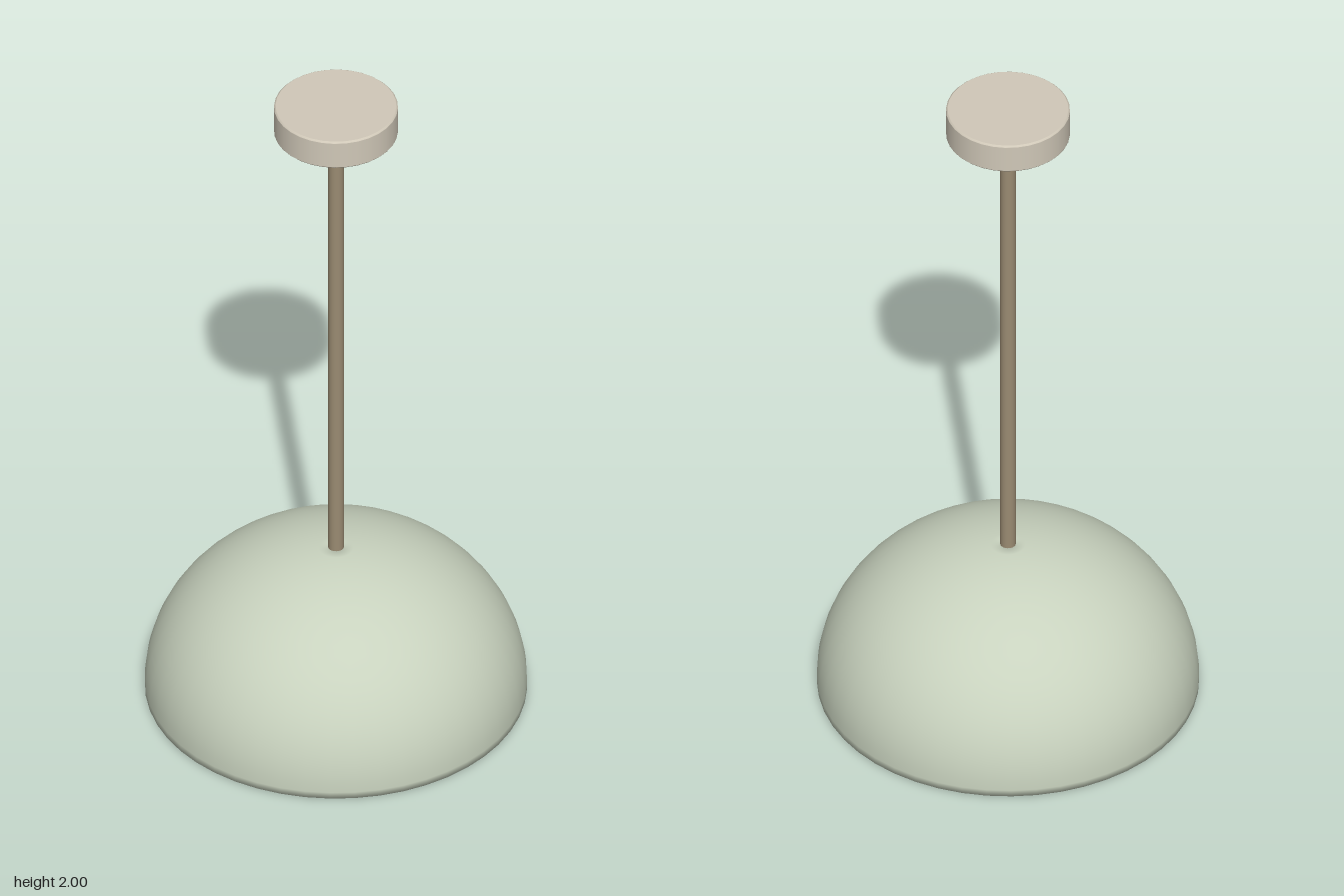
import * as THREE from 'three';

const SEGMENTS = 48;

function addLathe(group, name, points, color, segments = SEGMENTS) {
  const profile = points.map(([r, y]) => new THREE.Vector2(r, y));
  const material = new THREE.MeshStandardMaterial({ color });
  const mesh = new THREE.Mesh(new THREE.LatheGeometry(profile, segments), material);
  mesh.name = name;
  group.add(mesh);
}

// Quarter ellipse rising from the rim to just beside the axis
function domeArc(radius, baseY, height, steps = 24) {
  const end = Math.acos(0.015 / radius);
  return Array.from({ length: steps + 1 }, (_, i) => {
    const a = (i / steps) * end;
    return [radius * Math.cos(a), baseY + height * Math.sin(a)];
  });
}

// Solid disc with slightly eased edges; doubled points keep the flats crisp
function discProfile(radius, y0, y1, bevel) {
  return [
    [0, y0], [radius - bevel - 0.001, y0], [radius - bevel, y0],
    [radius, y0 + bevel], [radius, y0 + bevel + 0.001],
    [radius, y1 - bevel - 0.001], [radius, y1 - bevel],
    [radius - bevel, y1], [radius - bevel - 0.001, y1], [0, y1],
  ];
}

export function createModel() {
  const lamp = new THREE.Group();
  lamp.name = 'pendantLamp';

  // Hollow domed shade with a short straight lip
  const outer = domeArc(0.53, 0.02, 0.457);
  const inner = domeArc(0.51, 0.02, 0.437).reverse();
  addLathe(lamp, 'shade', [[0.51, 0], [0.53, 0], ...outer, ...inner, [0.51, 0]], 0xc8d2be);

  // Diffuser disc recessed inside the shade
  addLathe(lamp, 'diffuser', discProfile(0.387, 0.052, 0.09, 0.003), 0xe6d3ae);

  // Stem from shade to ceiling plate
  const stem = new THREE.Mesh(
    new THREE.CylinderGeometry(0.022, 0.022, 1.47, 20),
    new THREE.MeshStandardMaterial({ color: 0x9a8b72 })
  );
  stem.name = 'stem';
  stem.position.y = 0.45 + 1.47 / 2;
  lamp.add(stem);

  // Ceiling plate
  addLathe(lamp, 'ceilingPlate', discProfile(0.172, 1.91, 2, 0.004), 0xd0c8b8, 32);

  return lamp;
}
